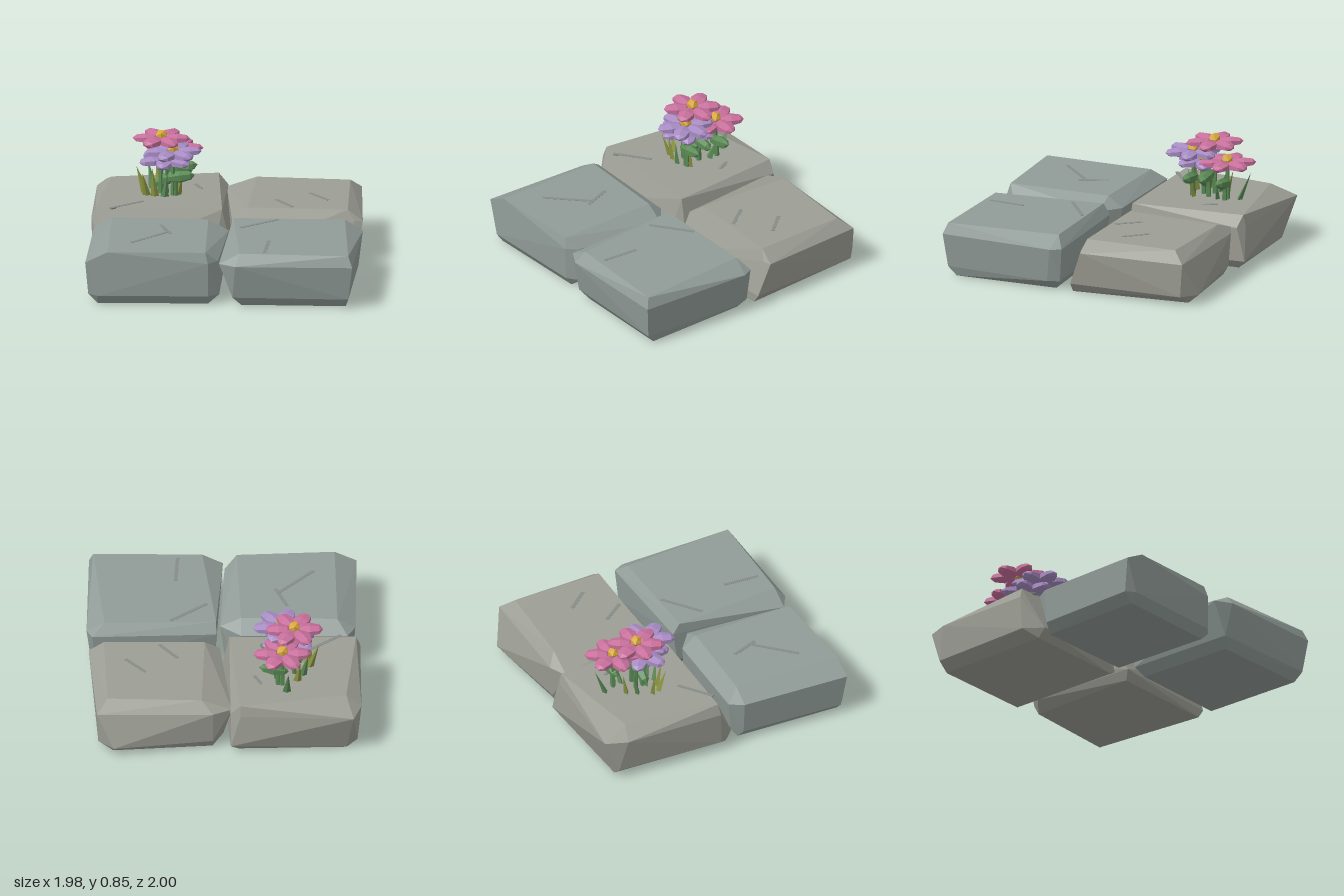
import * as THREE from 'three';
import { ConvexGeometry } from 'three/addons/geometries/ConvexGeometry.js';

const mat = (color) => new THREE.MeshStandardMaterial({ color, flatShading: true });
const warmStone = mat(0x9c9d94), coolStone = mat(0x919c98), crack = mat(0x868d88);
const pink = mat(0xc8709c), lilac = mat(0xa88cc4), gold = mat(0xd8a83c);
const green = mat(0x5a8a55), olive = mat(0x8a9440);
const TOP = 0.4;

function add(parent, name, geometry, material) {
  const m = new THREE.Mesh(geometry, material);
  m.name = name;
  parent.add(m);
  return m;
}

// Chipped slab: rings of [x, z] corners at bottom, lower bevel, upper bevel and top
function slab(parent, name, material, rings) {
  const heights = [0, 0.07, 0.32, TOP];
  const points = rings.flatMap((ring, i) => ring.map(([x, z]) => new THREE.Vector3(x, heights[i], z)));
  add(parent, name, new ConvexGeometry(points), material);
}

// Thin scratch lying on a slab
function scratch(parent, x0, z0, x1, z1) {
  const m = add(parent, 'scratch', new THREE.BoxGeometry(Math.hypot(x1 - x0, z1 - z0), 0.01, 0.025), crack);
  m.position.set((x0 + x1) / 2, TOP - 0.003, (z0 + z1) / 2);
  m.rotation.y = -Math.atan2(z1 - z0, x1 - x0);
}

// Faceted petals share one long axis, along x
const petalGeo = new THREE.SphereGeometry(1, 6, 4).rotateZ(Math.PI / 2).scale(0.095, 0.036, 0.066);
const leafGeo = new THREE.SphereGeometry(1, 6, 4).rotateZ(Math.PI / 2).scale(0.11, 0.045, 0.045);

function flower(parent, x, y, z, material, turn) {
  const g = new THREE.Group();
  g.name = 'flower';
  g.position.set(x, y, z);
  g.rotation.y = turn;
  for (let i = 0; i < 6; i++) {
    const a = (i / 6) * Math.PI * 2;
    const p = add(g, 'petal', petalGeo, material);
    p.position.set(Math.cos(a) * 0.115, 0, Math.sin(a) * 0.115);
    p.rotation.y = -a;
  }
  const c = add(g, 'flowerCentre', new THREE.IcosahedronGeometry(0.046, 0), gold);
  c.position.y = 0.024;
  parent.add(g);
  const stem = add(parent, 'stem', new THREE.CylinderGeometry(0.014, 0.018, y - TOP, 5), green);
  stem.position.set(x, (y + TOP) / 2, z);
}

// Flattened spike running from a base point to a tip
function blade(parent, x, z, tx, ty, tz, material) {
  const base = new THREE.Vector3(x, TOP - 0.01, z);
  const dir = new THREE.Vector3(tx, ty, tz).sub(base);
  const m = add(parent, 'grassBlade', new THREE.ConeGeometry(0.032, dir.length(), 4).scale(1, 1, 0.6), material);
  m.position.copy(base).addScaledVector(dir, 0.5);
  m.quaternion.setFromUnitVectors(new THREE.Vector3(0, 1, 0), dir.normalize());
}

export function createModel() {
  const model = new THREE.Group();
  model.name = 'stonePavingWithFlowers';

  // Four slabs
  slab(model, 'backLeftSlab', warmStone, [
    [[-0.87, -0.9], [-0.09, -0.9], [-0.1, -0.01], [-0.89, 0]],
    [[-0.95, -0.9], [-0.03, -0.97], [0.03, -0.07], [-0.1, 0], [-0.88, 0.05], [-0.98, -0.08]],
    [[-0.92, -1], [-0.98, -0.84], [-0.99, -0.09], [-0.04, -0.07], [-0.03, -0.91], [-0.1, -0.95]],
    [[-0.87, -0.81], [-0.1, -0.93], [-0.04, -0.08], [-0.96, -0.1]],
  ]);
  slab(model, 'backRightSlab', warmStone, [
    [[0.1, -0.86], [0.82, -0.9], [0.9, -0.02], [0.08, 0]],
    [[0.02, -0.8], [0.1, -0.9], [0.82, -0.98], [0.93, -0.88], [0.95, -0.02], [0.05, 0.04]],
    [[0.1, -0.92], [-0.04, -0.86], [0.03, -0.1], [0.94, -0.9], [0.98, -0.11], [0.92, -0.09]],
    [[0.18, -0.85], [0.86, -0.81], [0.87, -0.12], [0.14, -0.14]],
  ]);
  slab(model, 'frontLeftSlab', coolStone, [
    [[-0.88, 0.1], [-0.12, 0.1], [-0.1, 0.88], [-0.9, 0.9]],
    [[-0.94, 0.12], [-0.85, 0.06], [-0.1, 0.07], [-0.01, 0.18], [-0.02, 0.87], [-0.1, 0.93], [-0.9, 0.95], [-0.97, 0.9]],
    [[-0.96, 0.12], [-0.9, 0.02], [-0.13, 0.04], [0.02, 0.16], [-0.03, 0.86], [-0.1, 0.94], [-0.99, 0.94]],
    [[-0.83, 0.12], [-0.13, 0.15], [-0.12, 0.92], [-0.83, 0.94]],
  ]);
  slab(model, 'frontRightSlab', coolStone, [
    [[0.12, 0.14], [0.88, 0.12], [0.9, 0.9], [0.14, 0.9]],
    [[0.06, 0.1], [0.93, 0.07], [0.96, 0.16], [0.92, 0.96], [0.08, 0.95]],
    [[0.05, 0.06], [0.95, 0.05], [0.99, 0.13], [0.95, 0.99], [0.1, 1], [-0.02, 0.93]],
    [[0.05, 0.11], [0.86, 0.11], [0.92, 0.96], [0.13, 0.93]],
  ]);

  // Scratches
  [[-0.85, -0.08, -0.62, -0.25], [-0.26, -0.66, -0.21, -0.56], [0.34, -0.33, 0.47, -0.16],
    [0.58, -0.49, 0.72, -0.33], [-0.67, 0.71, -0.4, 0.44], [-0.47, 0.29, -0.39, 0.5],
    [0.11, 0.33, 0.38, 0.13], [0.33, 0.62, 0.31, 0.89]].forEach((s) => scratch(model, ...s));

  // Flower clump
  const clump = new THREE.Group();
  clump.name = 'flowerClump';
  model.add(clump);
  flower(clump, -0.5, 0.79, -0.53, pink, 0);
  flower(clump, -0.41, 0.675, -0.67, pink, 0);
  flower(clump, -0.41, 0.73, -0.4, lilac, 0.15);
  flower(clump, -0.46, 0.65, -0.46, lilac, 0.4);

  // Leaves
  [[-0.36, 0.54, -0.4, 0.15], [-0.38, 0.56, -0.52, -0.1], [-0.35, 0.53, -0.66, 0.2], [-0.46, 0.5, -0.47, 0.5]]
    .forEach(([x, y, z, tilt]) => {
      const leaf = add(clump, 'leaf', leafGeo, green);
      leaf.position.set(x, y, z);
      leaf.rotation.z = tilt;
      const stalk = add(clump, 'leafStalk', new THREE.CylinderGeometry(0.014, 0.02, y - TOP, 5), green);
      stalk.position.set(x - 0.03, (y + TOP) / 2, z);
    });

  // Grass blades
  [[-0.61, -0.45, -0.68, 0.6, -0.47, olive], [-0.6, -0.4, -0.63, 0.58, -0.35, olive],
    [-0.54, -0.38, -0.56, 0.62, -0.35, olive], [-0.47, -0.37, -0.45, 0.58, -0.34, green],
    [-0.38, -0.42, -0.34, 0.57, -0.39, olive], [-0.56, -0.55, -0.6, 0.6, -0.6, green],
    [-0.52, -0.62, -0.54, 0.58, -0.66, olive], [-0.44, -0.75, -0.45, 0.61, -0.84, green],
    [-0.39, -0.6, -0.33, 0.56, -0.62, green], [-0.5, -0.45, -0.5, 0.62, -0.43, green]]
    .forEach((b) => blade(clump, ...b));

  return model;
}
